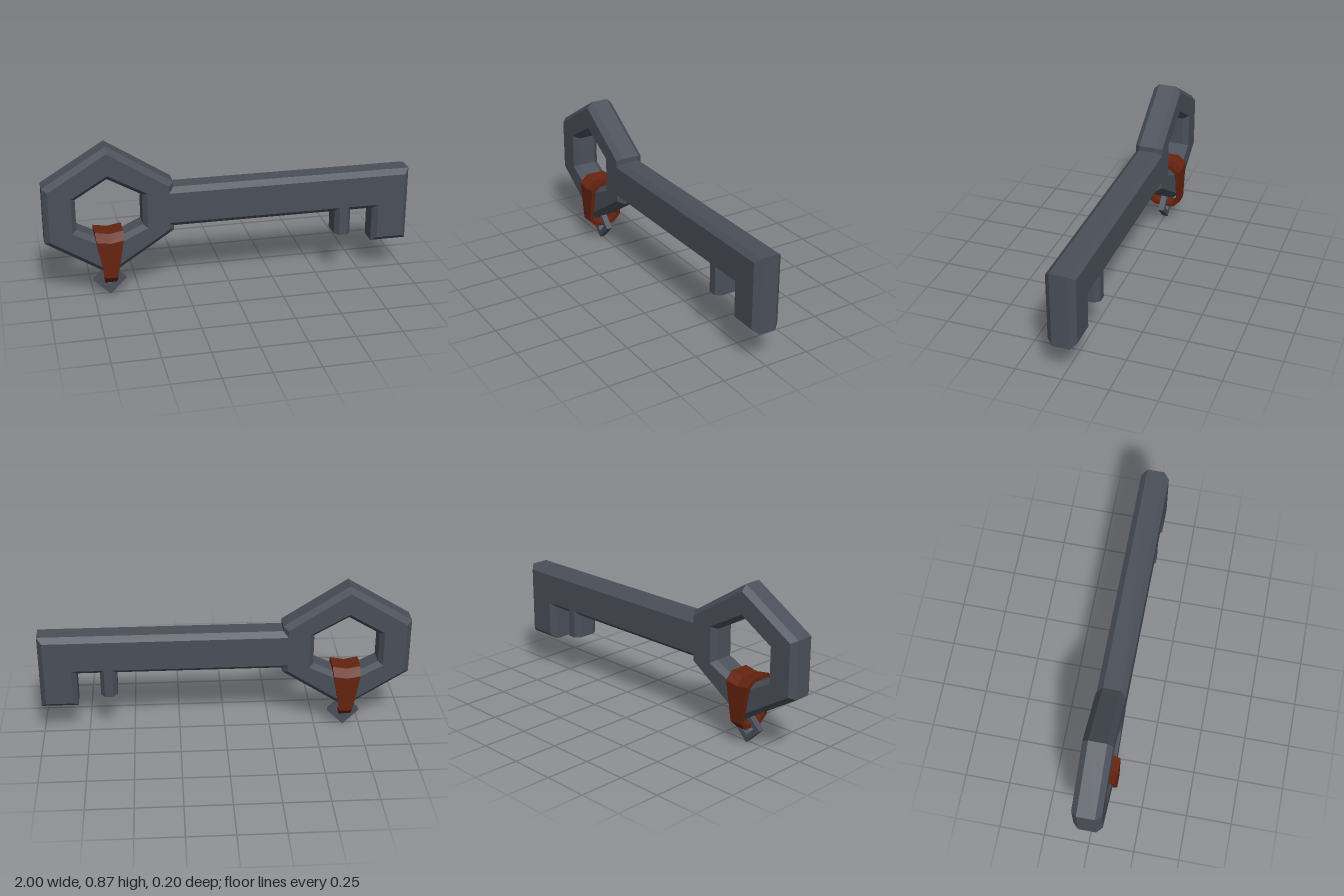
import * as THREE from 'three';

const iron = new THREE.MeshStandardMaterial({ color: 0x4a4f59 });
iron.name = 'dark iron';
const leather = new THREE.MeshStandardMaterial({ color: 0x64230f });
leather.name = 'brown leather';

// Flat-shaded geometry from points [x, y, z] and triangle indices
function facet(points, index) {
  const indexed = new THREE.BufferGeometry();
  indexed.setAttribute('position', new THREE.Float32BufferAttribute(points.flat(), 3));
  indexed.setIndex(index);
  const geometry = indexed.toNonIndexed();
  geometry.computeVertexNormals();
  return geometry;
}

// Moves each edge of a loop to its left by d(edge index), mitring the corners
function inset(loop, d) {
  const n = loop.length;
  const normal = (i) => {
    const [a, b] = [loop[i], loop[(i + 1) % n]];
    const length = Math.hypot(b[0] - a[0], b[1] - a[1]);
    return [(a[1] - b[1]) / length, (b[0] - a[0]) / length];
  };
  return loop.map(([x, y], i) => {
    const j = (i + n - 1) % n;
    const [p, q] = [normal(j), normal(i)];
    const det = p[0] * q[1] - p[1] * q[0];
    return [
      x + (d(j) * q[1] - d(i) * p[1]) / det,
      y + (d(i) * p[0] - d(j) * q[0]) / det,
    ];
  });
}

// Plate with chamfered rims; outline runs counter-clockwise, hole clockwise
function chamferedPlate(outline, hole, outlineInset, holeInset, half, chamfer) {
  const wide = [...outline, ...hole];
  const small = [inset(outline, outlineInset), inset(hole, holeInset)];
  const narrow = small.flat();
  const n = wide.length;
  const layers = [[narrow, -half], [wide, -half + chamfer], [wide, half - chamfer], [narrow, half]];
  const points = layers.flatMap(([loop, z]) => loop.map(([x, y]) => [x, y, z]));
  const index = [];
  for (let k = 0; k < 3; k++) {
    for (const [start, count] of [[0, outline.length], [outline.length, hole.length]]) {
      for (let i = 0; i < count; i++) {
        const a = k * n + start + i, b = k * n + start + (i + 1) % count;
        index.push(a, b, b + n, a, b + n, a + n);
      }
    }
  }
  const [contour, opening] = small.map((l) => l.map(([x, y]) => new THREE.Vector2(x, y)));
  for (const [a, b, c] of THREE.ShapeUtils.triangulateShape(contour, [opening])) {
    index.push(a + 3 * n, b + 3 * n, c + 3 * n, a, c, b);
  }
  return facet(points, index);
}

// Closed strap: each station has z, y (outer and inner), half width and centre sag
function strapGeometry(stations, x0) {
  const points = stations.flatMap(({ o, i, w, sag }) => [
    [x0 - w, o[1], o[0]], [x0, o[1] - sag, o[0]], [x0 + w, o[1], o[0]],
    [x0 + w, i[1], i[0]], [x0, i[1] - sag, i[0]], [x0 - w, i[1], i[0]],
  ]);
  const index = [];
  const n = stations.length;
  for (let s = 0; s < n; s++) {
    const t = (s + 1) % n;
    for (let k = 0; k < 6; k++) {
      const l = (k + 1) % 6;
      const [a, b, c, d] = [s * 6 + k, s * 6 + l, t * 6 + l, t * 6 + k];
      index.push(a, b, c, a, c, d);
    }
  }
  return facet(points, index);
}

export function createModel() {
  const group = new THREE.Group();
  const add = (name, geometry, material) => {
    const mesh = new THREE.Mesh(geometry, material);
    mesh.name = name;
    group.add(mesh);
    return mesh;
  };

  // Key: hexagonal bow, straight shaft, narrow tooth and wide bit
  const cx = -0.66;
  const outline = [
    [cx, 0.135], [-0.31, 0.365], [-0.31, 0.39],
    [0.585, 0.39], [0.585, 0.255], [0.675, 0.255], [0.675, 0.39],
    [0.8, 0.39], [0.8, 0.193], [1, 0.193], [1, 0.612],
    [-0.31, 0.612], [-0.31, 0.64], [cx, 0.865], [-1, 0.657], [-1, 0.348],
  ];
  const hole = [
    [cx, 0.325], [-0.83, 0.413], [-0.83, 0.583],
    [cx, 0.685], [-0.478, 0.583], [-0.478, 0.413],
  ];
  const toothEnd = 4; // the tooth is cut off square
  const keyGeometry = chamferedPlate(outline, hole,
    (i) => (i === toothEnd ? 0 : i === 3 || i === 5 ? 0.022 : 0.027),
    () => 0.024, 0.078, 0.03);
  add('key', keyGeometry, iron);

  // Strap looped through the bow, tapering towards the bottom
  const frontHalf = [
    { o: [0.058, 0.092], i: [0.05, 0.115], w: 0.032, sag: 0 },
    { o: [0.1, 0.136], i: [0.079, 0.146], w: 0.036, sag: 0 },
    { o: [0.1, 0.349], i: [0.079, 0.338], w: 0.072, sag: 0.012 },
    { o: [0.055, 0.388], i: [0.047, 0.365], w: 0.076, sag: 0.014 },
  ];
  const backHalf = frontHalf.map(({ o, i, w, sag }) =>
    ({ o: [-o[0], o[1]], i: [-i[0], i[1]], w, sag })).reverse();
  add('strap', strapGeometry([...frontHalf, ...backHalf], cx), leather);

  // Small square link hanging from the strap
  const diamond = (r, Type) => new Type(
    [[0, -r], [r, 0], [0, r], [-r, 0]].map(([x, y]) => new THREE.Vector2(x, y)));
  const link = diamond(0.087, THREE.Shape);
  link.holes.push(diamond(0.047, THREE.Path));
  const linkGeometry = new THREE.ExtrudeGeometry(link, { depth: 0.034, bevelEnabled: false });
  add('link', linkGeometry, iron).position.set(cx, 0.087, -0.017);

  return group;
}
